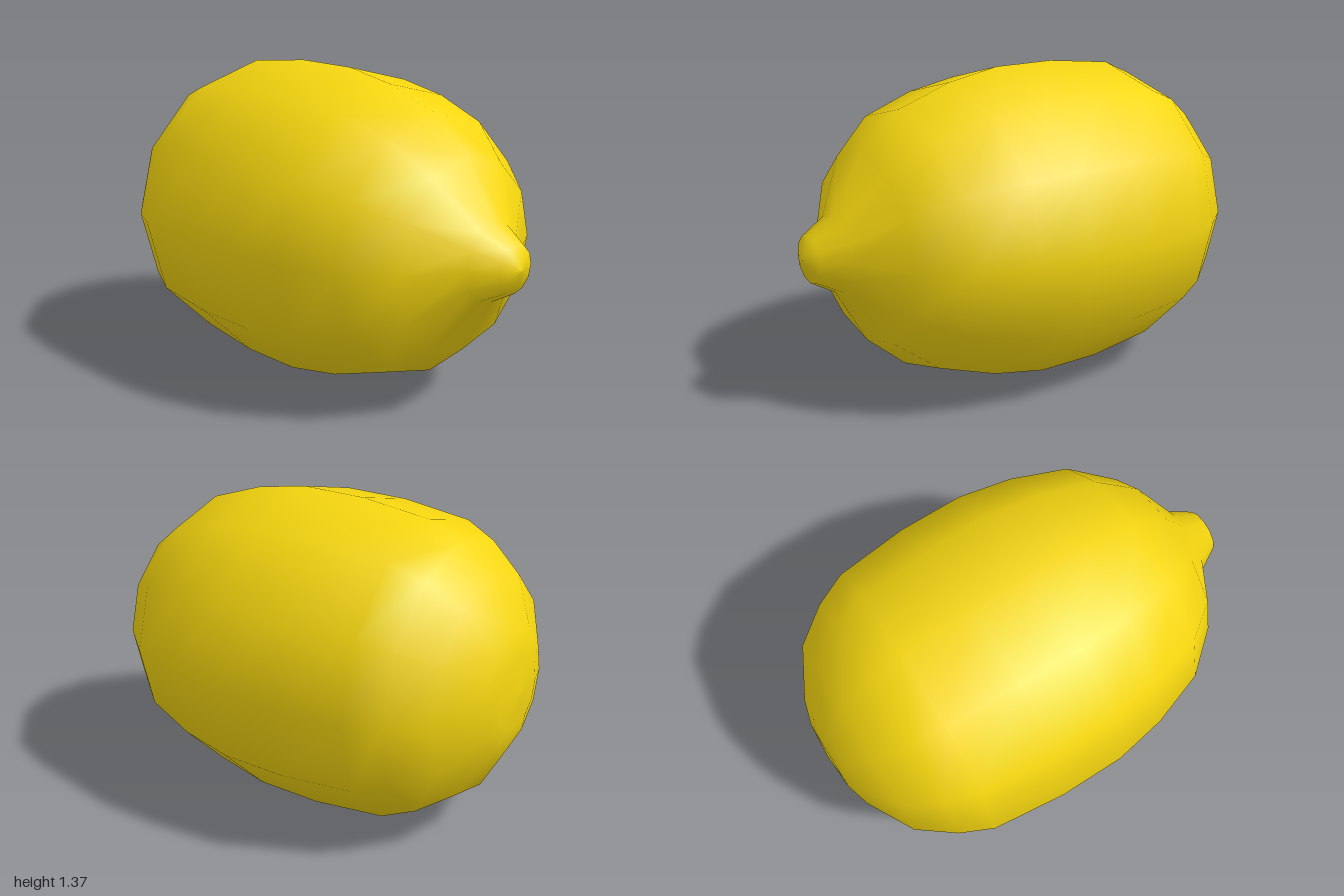
import * as THREE from 'three';

export function createModel() {
  const group = new THREE.Group();
  group.name = 'lemon';

  // Radius and position along the fruit, from the blunt end to the nipple
  const profile = [
    [0, -1], [0.16, -0.99], [0.265, -0.96], [0.47, -0.85], [0.585, -0.7],
    [0.65, -0.56], [0.686, -0.24], [0.686, 0.05], [0.643, 0.29],
    [0.557, 0.54], [0.405, 0.72], [0.163, 0.86], [0.1, 0.97], [0, 1],
  ].map(([r, z]) => new THREE.Vector2(r, z));

  // Twelve-sided smooth body, laid on its side with the nipple facing front
  const geometry = new THREE.LatheGeometry(profile, 12);
  geometry.rotateX(Math.PI / 2);
  geometry.translate(0, 0.686, 0);

  const peel = new THREE.Mesh(
    geometry,
    new THREE.MeshStandardMaterial({ color: 0xf5d60f })
  );
  peel.name = 'peel';
  group.add(peel);
  return group;
}
